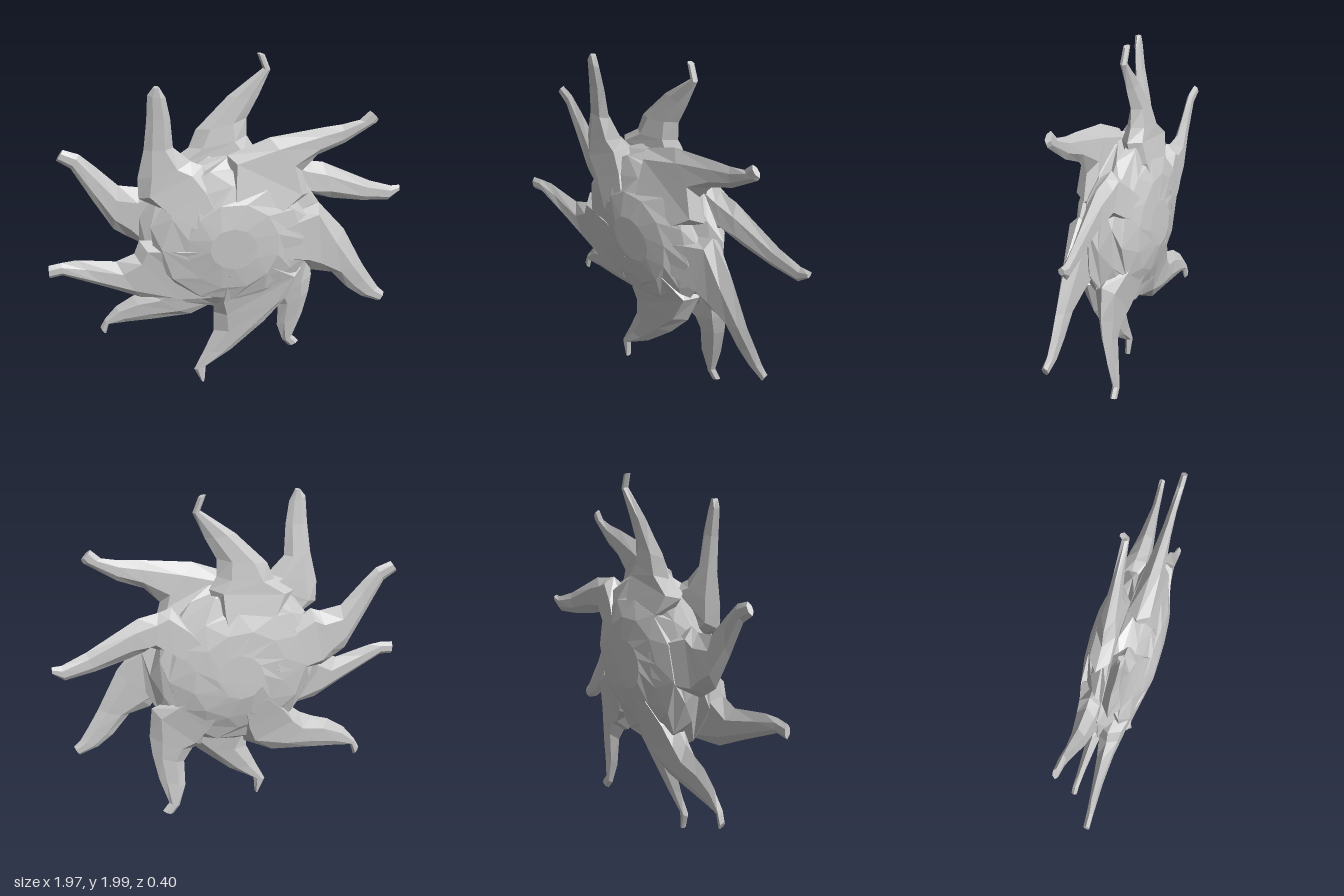
import * as THREE from 'three';

const material = new THREE.MeshStandardMaterial({ color: 0xcccccc, flatShading: true, side: THREE.DoubleSide });

// Flame outlines from root to tip: [x, y] on the counter-clockwise edge, then [x, y] on the clockwise edge
const frontFlames = [
  [[-.49, 1.28, -.15, 1.45], [-.49, 1.40, -.21, 1.48], [-.45, 1.57, -.30, 1.57], [-.43, 1.74, -.31, 1.74], [-.42, 1.88, -.33, 1.86], [-.39, 1.92, -.36, 1.92]],
  [[-.02, 1.50, .42, 1.24], [.20, 1.59, .38, 1.38], [.48, 1.63, .46, 1.47], [.58, 1.64, .60, 1.53], [.67, 1.66, .76, 1.64], [.72, 1.71, .77, 1.66]],
  [[.48, 1.18, .42, .80], [.63, 1.0, .46, .74], [.75, .76, .58, .71], [.81, .66, .68, .59], [.86, .58, .77, .52], [.90, .54, .87, .48]],
  [[.40, .76, -.10, .60], [.32, .56, -.10, .50], [.19, .40, -.10, .37], [0, .22, -.16, .23], [-.15, .12, -.22, .10], [-.16, .01, -.18, .01]],
  [[-.08, .62, -.50, 1.02], [-.25, .61, -.53, .94], [-.51, .65, -.63, .90], [-.68, .74, -.84, .94], [-.92, .86, -.92, .94], [-.99, .85, -.99, .93]],
];
const backFlames = [
  [[-.32, 1.42, .14, 1.48], [-.21, 1.50, .10, 1.55], [-.17, 1.60, .10, 1.65], [0, 1.78, .16, 1.77], [.18, 1.92, .22, 1.91], [.15, 2.0, .19, 1.99]],
  [[.34, 1.40, .46, 1.18], [.41, 1.38, .49, 1.16], [.52, 1.36, .58, 1.13], [.80, 1.21, .76, 1.09], [.93, 1.16, .92, 1.07], [.98, 1.16, .98, 1.12]],
  [[.47, .80, .20, .52], [.49, .62, .25, .50], [.48, .50, .30, .42], [.45, .33, .30, .26], [.40, .16, .34, .13], [.44, .11, .38, .08]],
  [[-.05, .50, -.38, .64], [-.22, .41, -.46, .60], [-.45, .39, -.55, .57], [-.60, .38, -.65, .50], [-.70, .37, -.72, .41], [-.72, .30, -.75, .35]],
  [[-.50, .94, -.42, 1.30], [-.56, .98, -.47, 1.28], [-.63, 1.03, -.59, 1.30], [-.73, 1.22, -.70, 1.42], [-.83, 1.42, -.78, 1.50], [-.90, 1.47, -.86, 1.53]],
];
// Depth of each flame tip
const frontTips = [.1, .07, .06, .075, .1];
const backTips = [-.07, -.1, -.095, -.085, -.065];

// Depth of the outer and inner flame surface against distance from the centre
const outerDepth = [[0, .19], [.13, .19], [.26, .168], [.38, .138], [.5, .112], [.65, .095], [.8, .088], [1, .095]];
const innerDepth = [[0, 0], [.47, 0], [.65, .03], [.8, .05], [1, .065]];

function sample(table, r) {
  for (let i = 1; i < table.length; i++) {
    const [r0, z0] = table[i - 1], [r1, z1] = table[i];
    if (r <= r1) return THREE.MathUtils.lerp(z0, z1, (r - r0) / (r1 - r0));
  }
  return table[table.length - 1][1];
}

// Joins closed cross-sections into one capped surface
function loft(sections) {
  const n = sections[0].length, index = [];
  for (let i = 0; i + 1 < sections.length; i++) {
    for (let j = 0; j < n; j++) {
      const a = i * n + j, b = i * n + (j + 1) % n;
      index.push(a, b, b + n, a, b + n, a + n);
    }
  }
  const last = (sections.length - 1) * n;
  for (let j = 1; j + 1 < n; j++) index.push(0, j + 1, j, last, last + j, last + j + 1);
  const geometry = new THREE.BufferGeometry();
  geometry.setAttribute('position', new THREE.Float32BufferAttribute(sections.flat(2), 3));
  geometry.setIndex(index);
  geometry.computeVertexNormals();
  return geometry;
}

// Six-sided flame; side is 1 for the front set and -1 for the back set
function makeFlame(outline, side, tipZ) {
  // The root continues inward under the skin of the body
  const buried = [.45, .75].map((k) => outline[0].map((v, i) => (i % 2 ? 1 + (v - 1) * k : v * k)));
  const sections = [...buried, ...outline].map(([x0, y0, x1, y1]) => {
    const rMid = Math.hypot((x0 + x1) / 2, (y0 + y1) / 2 - 1);
    const bend = (tipZ - side * .08) * THREE.MathUtils.smoothstep(rMid, .6, .95);
    const inset = THREE.MathUtils.lerp(.1, .28, THREE.MathUtils.smoothstep(rMid, .4, .6));
    const point = (t, layer) => {
      const x = THREE.MathUtils.lerp(x0, x1, t), y = THREE.MathUtils.lerp(y0, y1, t);
      const r = Math.hypot(x, y - 1);
      const out = sample(outerDepth, r), inn = sample(innerDepth, r);
      const top = side > 0 ? out : -inn, bottom = side > 0 ? inn : -out;
      return [x, y, bend + (layer > 0 ? top : layer < 0 ? bottom : (top + bottom) / 2)];
    };
    return [point(0, 0), point(inset, 1), point(1 - inset, 1), point(1, 0), point(1 - inset, -1), point(inset, -1)];
  });
  return new THREE.Mesh(loft(sections), material);
}

// Faceted lens: staggered, slightly uneven rings from back to front
function makeBody() {
  const rings = [[.13, .192], [.26, .17], [.37, .138], [.44, .095], [.48, .04], [.5, 0]];
  const profile = [...rings.map(([r, z]) => [r, -z]), ...rings.slice(0, -1).reverse()];
  const sides = 12;
  const sections = profile.map(([r, z], i) => Array.from({ length: sides }, (_, j) => {
    const angle = (j + (i % 2) * .5) / sides * Math.PI * 2;
    const wobble = 1 + .04 * Math.sin(j * 7.3 + i * 4.1);
    const ripple = 1 + .03 * Math.sin(j * 5.7 + i * 2.3);
    return [Math.cos(angle) * r * wobble, 1 + Math.sin(angle) * r * wobble, z * ripple];
  }));
  return new THREE.Mesh(loft(sections), material);
}

export function createModel() {
  const model = new THREE.Group();
  model.name = 'flamingSun';

  const body = makeBody();
  body.name = 'body';
  model.add(body);

  const sets = [['frontFlame', frontFlames, frontTips, 1], ['backFlame', backFlames, backTips, -1]];
  sets.forEach(([name, outlines, tips, side]) => {
    outlines.forEach((outline, i) => {
      const flame = makeFlame(outline, side, tips[i]);
      flame.name = name + (i + 1);
      model.add(flame);
    });
  });
  return model;
}
